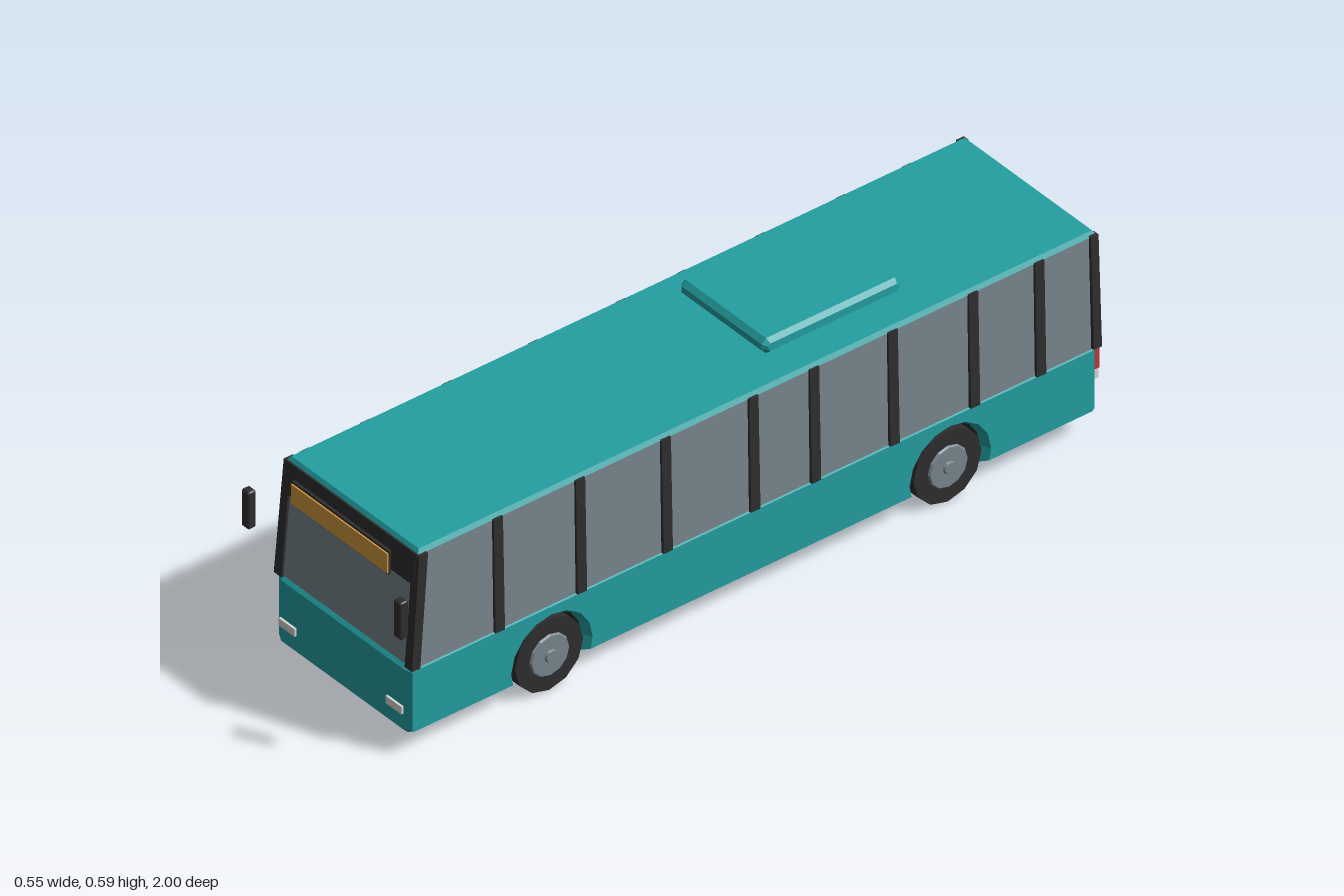
import * as THREE from 'three';

const mat = (name, color) => {
  const m = new THREE.MeshStandardMaterial({ color });
  m.name = name;
  return m;
};

export function createModel() {
  const bus = new THREE.Group();
  bus.name = 'bus';
  const teal = mat('teal paint', 0x249fa1);
  const glass = mat('grey glass', 0x78868e);
  const black = mat('black trim', 0x2e2e2e);
  const amber = mat('amber sign', 0xd2983c);
  const white = mat('lamp white', 0xd6d6d2);
  const red = mat('lamp red', 0xb8383f);
  const liner = mat('black liner', 0x2a2a2a);
  liner.side = THREE.DoubleSide;

  const add = (name, geometry, material, parent = bus) => {
    const mesh = new THREE.Mesh(geometry, material);
    mesh.name = name;
    parent.add(mesh);
    return mesh;
  };

  // Six-sided block between two rectangles [x0, x1, z0, z1] at heights y0 and y1
  const loft = (y0, y1, bottom, top = bottom) => {
    const g = new THREE.BoxGeometry(1, 1, 1);
    const p = g.attributes.position;
    for (let i = 0; i < p.count; i++) {
      const r = p.getY(i) > 0 ? top : bottom;
      p.setXYZ(i, r[p.getX(i) > 0 ? 1 : 0], p.getY(i) > 0 ? y1 : y0, r[p.getZ(i) > 0 ? 3 : 2]);
    }
    g.computeVertexNormals();
    return g;
  };

  // The same rectangle on the side s (+1 or -1)
  const side = (s, [x0, x1, z0, z1]) => (s > 0 ? [x0, x1, z0, z1] : [-x1, -x0, z0, z1]);

  // Side outline (z, y) extruded across x, with chamfered rims
  const across = (points, halfWidth, bevel, thick = bevel) => {
    const g = new THREE.ExtrudeGeometry(new THREE.Shape(points), {
      depth: 2 * (halfWidth - thick), bevelEnabled: true, bevelSegments: 1,
      bevelSize: bevel, bevelOffset: -bevel, bevelThickness: thick,
    });
    g.translate(0, 0, -(halfWidth - thick));
    return g.rotateY(-Math.PI / 2);
  };
  const v = (z, y) => new THREE.Vector2(z, y);
  // Outline of a rectangle with cut corners
  const cutRect = (z0, z1, y0, y1, c) => [
    v(z0 + c, y0), v(z1 - c, y0), v(z1, y0 + c), v(z1, y1 - c),
    v(z1 - c, y1), v(z0 + c, y1), v(z0, y1 - c), v(z0, y0 + c),
  ];

  // Lower body with two wheel arches cut right through
  const axles = [-0.575, 0.54], wheelY = 0.095, archR = 0.104, floor = 0.058;
  const start = -Math.asin((wheelY - floor) / archR);
  const archPoint = (z, i, r = archR) => {
    const a = Math.PI - start + (2 * start - Math.PI) * (i / 10);
    return v(z + r * Math.cos(a), wheelY + r * Math.sin(a));
  };
  const outline = [v(-0.988, floor + 0.012), v(-0.976, floor)];
  for (const z of axles) for (let i = 0; i <= 10; i++) outline.push(archPoint(z, i));
  outline.push(v(0.928, floor), v(0.94, floor + 0.012), v(0.94, 0.232), v(0.932, 0.24), v(-0.988, 0.24));
  add('lowerBody', across(outline, 0.232, 0.01, 0.02), teal);

  // Window band and roof
  add('windowBand', loft(0.235, 0.536, [-0.231, 0.231, -0.988, 0.932], [-0.226, 0.226, -0.983, 0.908]), glass);
  add('roof', loft(0.534, 0.545, [-0.228, 0.228, -0.988, 0.912], [-0.221, 0.221, -0.98, 0.904]), teal);
  const unit = across(cutRect(-0.507, -0.122, 0.553, 0.593, 0.012), 0.15, 0.01, 0.011);
  add('roofUnit', unit, teal);

  // Window pillars on both sides
  const pillars = [-0.825, -0.64, -0.415, -0.195, -0.025, 0.22, 0.46, 0.69];
  for (const s of [1, -1]) {
    for (const z of s > 0 ? pillars : [...pillars, 0.86]) {
      add('windowPillar', loft(0.235, 0.536,
        side(s, [0.22, 0.239, z - 0.013, z + 0.013]), side(s, [0.215, 0.232, z - 0.013, z + 0.013])), black);
    }
    add('frontPillar', loft(0.238, 0.535,
      side(s, [0.214, 0.24, 0.915, 0.938]), side(s, [0.212, 0.235, 0.889, 0.914])), black);
    add('rearPillar', loft(0.238, 0.538,
      side(s, [0.222, 0.24, -0.993, -0.97]), side(s, [0.218, 0.234, -0.988, -0.967])), black);
  }

  // Front header and destination sign
  add('frontHeader', loft(0.454, 0.536, [-0.226, 0.226, 0.88, 0.921], [-0.226, 0.226, 0.88, 0.915]), black);
  add('signBox', loft(0.463, 0.526, [-0.167, 0.167, 0.938, 0.945]), black);
  add('signFace', loft(0.468, 0.52, [-0.167, 0.167, 0.945, 0.949]), amber);

  for (const s of [1, -1]) {
    // Mirrors
    const mirror = across(cutRect(0.977, 1, 0.37, 0.47, 0.004), 0.0125, 0.003);
    add('mirror', mirror, black).position.x = s * 0.264;
    // Lamps
    add('headlight', loft(0.113, 0.133, side(s, [0.158, 0.213, 0.93, 0.946])), white);
    add('tailLight', loft(0.168, 0.225, side(s, [0.178, 0.222, -1, -0.98])), red);
    add('reverseLight', loft(0.142, 0.166, side(s, [0.178, 0.222, -0.997, -0.98])), white);
  }

  // Doors on one side: jambs, glass, header bar and step
  for (const [z0, z1] of [[-0.195, -0.025], [0.69, 0.86]]) {
    const door = new THREE.Group();
    door.name = 'door';
    bus.add(door);
    add('doorFrame', loft(0.066, 0.24, [-0.236, -0.225, z0 - 0.013, z1 + 0.013]), black, door);
    add('doorGlass', loft(0.078, 0.24, [-0.238, -0.23, z0 + 0.013, z1 - 0.013]), glass, door);
    add('doorHeader', loft(0.455, 0.485, [-0.234, -0.22, z0, z1], [-0.233, -0.22, z0, z1]), black, door);
    add('doorStep', loft(0.058, 0.068, [-0.24, -0.21, z0 - 0.01, z1 + 0.01]), white, door);
  }

  // Engine vent slats
  for (let i = 0; i < 5; i++) {
    const y = 0.108 + i * 0.02;
    add('ventSlat', loft(y, y + 0.01, [-0.235, -0.228, -0.835, -0.75]), black);
  }

  // Wheels and arch liners
  const disc = (r0, r1, w) => new THREE.CylinderGeometry(r0, r1, w, 12).toNonIndexed().rotateZ(-Math.PI / 2);
  for (const z of axles) {
    const tunnel = new THREE.BufferGeometry();
    const pos = [];
    for (let i = 0; i < 10; i++) {
      const a = archPoint(z, i, archR - 0.002), b = archPoint(z, i + 1, archR - 0.002);
      const quad = [[-1, a], [1, a], [1, b], [-1, a], [1, b], [-1, b]];
      for (const [s, p] of quad) pos.push(s * 0.208, p.y, p.x);
    }
    tunnel.setAttribute('position', new THREE.Float32BufferAttribute(pos, 3));
    tunnel.computeVertexNormals();
    add('archLiner', tunnel, liner);

    for (const s of [1, -1]) {
      const wheel = new THREE.Group();
      wheel.name = 'wheel';
      wheel.position.set(s * 0.189, wheelY, z);
      if (s < 0) wheel.rotation.y = Math.PI;
      const flat = (g) => { g.computeVertexNormals(); return g; };
      add('tyre', flat(disc(0.095, 0.095, 0.066)), black, wheel);
      add('rim', flat(disc(0.052, 0.056, 0.006)), glass, wheel).position.x = 0.035;
      add('hub', flat(disc(0.014, 0.017, 0.006)), glass, wheel).position.x = 0.04;
      bus.add(wheel);
    }
  }
  return bus;
}
